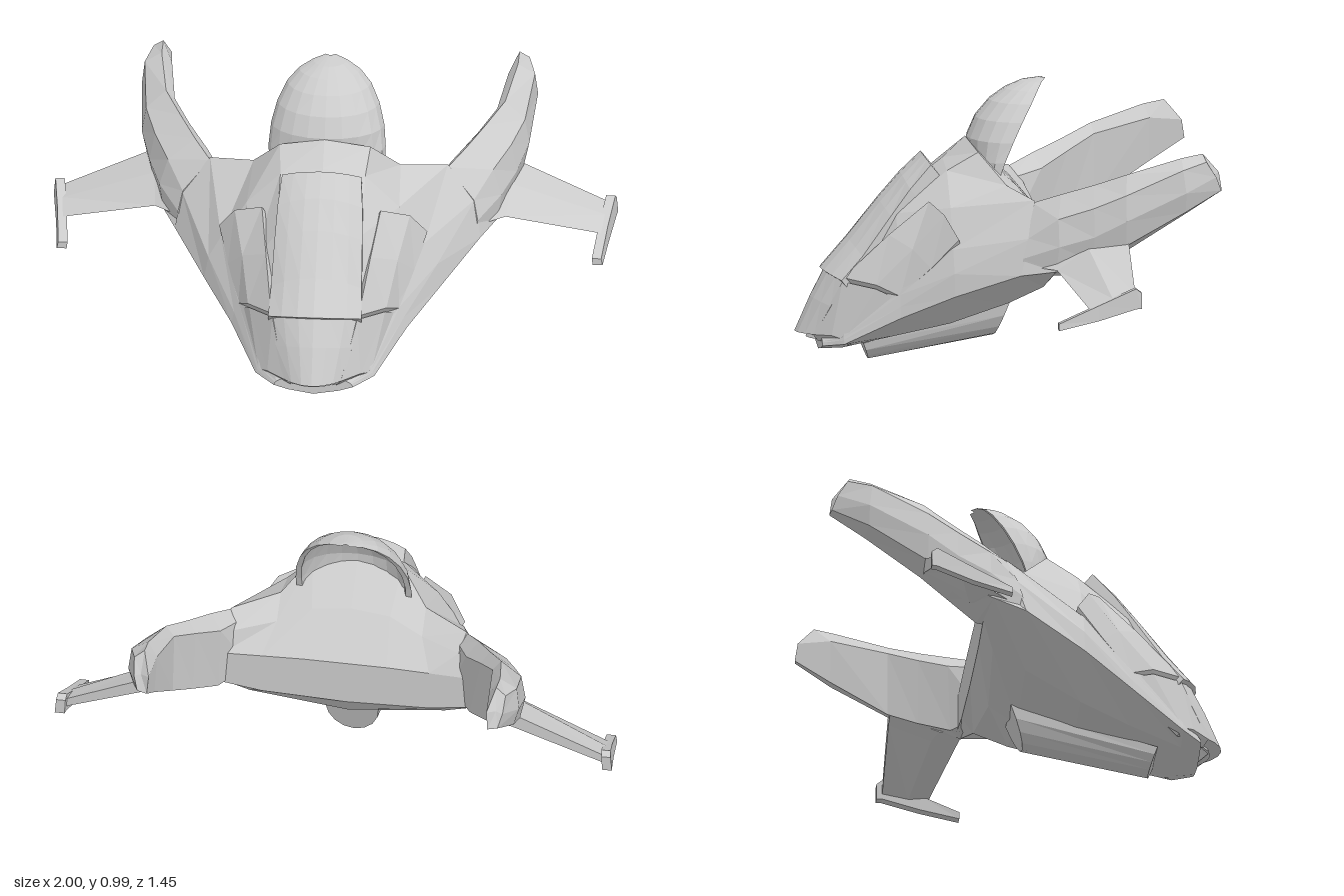
import * as THREE from 'three';

const material = new THREE.MeshStandardMaterial({ color: 0xcccccc, flatShading: true, side: THREE.DoubleSide });

// Closed loft through rings of [x, y, z] points, capped at both ends, faces turned outward
function loft(name, rings) {
  const n = rings[0].length, tris = [];
  const quad = (a, b, c, d) => tris.push([a, b, c], [a, c, d]);
  for (let r = 0; r < rings.length - 1; r++) {
    for (let i = 0; i < n; i++) {
      const j = (i + 1) % n;
      quad(rings[r][i], rings[r][j], rings[r + 1][j], rings[r + 1][i]);
    }
  }
  const cap = (ring, flip) => {
    const c = [0, 1, 2].map(k => ring.reduce((s, p) => s + p[k], 0) / n);
    ring.forEach((p, i) => {
      const q = ring[(i + 1) % n];
      tris.push(flip ? [c, q, p] : [c, p, q]);
    });
  };
  cap(rings[0], true);
  cap(rings[rings.length - 1], false);
  const vec = p => new THREE.Vector3(...p);
  const volume = tris.reduce((s, [a, b, c]) => s + vec(a).dot(vec(b).cross(vec(c))), 0);
  if (volume < 0) tris.forEach(t => t.reverse());
  const geometry = new THREE.BufferGeometry();
  geometry.setAttribute('position', new THREE.Float32BufferAttribute(tris.flat(2), 3));
  geometry.computeVertexNormals();
  const mesh = new THREE.Mesh(geometry, material);
  mesh.name = name;
  return mesh;
}

const flipX = ([x, y, z]) => [-x, y, z];
// Full ring from a half section that runs from the top centre to the bottom centre
const symmetric = half => [...half, ...half.slice(1, -1).reverse().map(flipX)];
const at = (z, pts) => pts.map(([x, y]) => [x, y, z]);
// Ring for a plate: the top line, and the same line shifted underneath
const plate = (line, shift) => [...line, ...line.map(p => p.map((v, k) => v + shift[k])).reverse()];

export function createModel() {
  const model = new THREE.Group();
  const pair = (name, rings) => {
    model.add(loft('left' + name, rings), loft('right' + name, rings.map(r => r.map(flipX))));
  };

  // Hull: wedge from the nose to the raised cockpit rim, then down to the rear edge
  model.add(loft('hull', [
    at(0.64, [[0, 0.11], [0.07, 0.1], [0.11, 0.095], [0.13, 0.085], [0.135, 0.08], [0.14, 0.07], [0.09, 0.055], [0, 0.04]]),
    at(0.57, [[0, 0.34], [0.13, 0.25], [0.17, 0.17], [0.2, 0.11], [0.205, 0.1], [0.21, 0.085], [0.12, 0.06], [0, 0.046]]),
    at(0.38, [[0, 0.58], [0.15, 0.54], [0.245, 0.4], [0.285, 0.27], [0.3, 0.23], [0.31, 0.19], [0.18, 0.11], [0, 0.08]]),
    at(0.2, [[0, 0.715], [0.15, 0.69], [0.27, 0.575], [0.36, 0.44], [0.405, 0.36], [0.42, 0.28], [0.25, 0.16], [0, 0.12]]),
    [[0, 0.79, 0.12], [0.16, 0.755, 0.09], [0.26, 0.65, 0], [0.42, 0.62, -0.08], [0.52, 0.5, -0.06],
      [0.54, 0.37, -0.02], [0.32, 0.24, 0], [0, 0.18, 0]],
    [[0, 0.64, -0.04], [0.14, 0.63, -0.05], [0.26, 0.58, -0.08], [0.4, 0.56, -0.13], [0.5, 0.52, -0.15],
      [0.59, 0.39, -0.14], [0.35, 0.3, -0.12], [0, 0.245, -0.1]],
    at(-0.165, [[0, 0.49], [0.15, 0.49], [0.3, 0.485], [0.44, 0.48], [0.46, 0.44], [0.47, 0.36], [0.3, 0.335], [0, 0.325]]),
  ].map(symmetric)));

  // Canopy and nose panel: arched plates [z, y, half width, drop and sweep at the sides]
  const arched = (name, depth, rows) => model.add(loft(name, rows.map(([z, y, w, drop, sweep]) => {
    const line = [-1, -0.7, -0.35, 0, 0.35, 0.7, 1].map(t => [w * t, y - drop * t * t, z - sweep * t * t]);
    return plate(line, [0, -depth, -0.04]);
  })));
  arched('canopy', 0.05, [
    [0.275, 0.735, 0.14, 0.025, 0.02], [0.35, 0.665, 0.15, 0.04, 0.02],
    [0.43, 0.575, 0.155, 0.045, 0.03], [0.54, 0.44, 0.16, 0.05, 0.04], [0.635, 0.33, 0.165, 0.025, 0.06]]);
  arched('nosePanel', 0.02, [
    [0.62, 0.325, 0.155, 0.025, 0.06], [0.67, 0.23, 0.135, 0.02, 0.06], [0.725, 0.105, 0.105, 0, 0.06]]);

  // Armour panels beside the canopy, open behind like intakes
  pair('SidePanel', [
    [[0.21, 0.59, 0.27], [0.31, 0.555, 0.225], [0.368, 0.475, 0.18]],
    [[0.185, 0.47, 0.41], [0.275, 0.43, 0.335], [0.33, 0.37, 0.275]],
    [[0.155, 0.315, 0.57], [0.245, 0.3, 0.46], [0.285, 0.265, 0.38]],
  ].map(line => plate(line, [-0.02, -0.035, -0.01])));
  pair('NoseSidePanel', [
    [[0.15, 0.3, 0.57], [0.24, 0.285, 0.46], [0.28, 0.25, 0.38]],
    [[0.1, 0.105, 0.67], [0.165, 0.11, 0.61], [0.2, 0.1, 0.57]],
  ].map(line => plate(line, [-0.02, -0.025, -0.02])));

  // Hood: a hollow half dome leaning back over the cockpit [y, half width, back z, front z]
  model.add(loft('hood', [
    [0.66, 0.205, 0.02, 0.1], [0.72, 0.207, 0, 0.11], [0.79, 0.2, -0.03, 0.115], [0.86, 0.18, -0.065, 0.085],
    [0.92, 0.148, -0.1, 0.035], [0.96, 0.108, -0.125, -0.02], [0.985, 0.06, -0.145, -0.075], [0.996, 0.018, -0.163, -0.14],
  ].map(([y, w, zb, zf]) => {
    const arc = k => Array.from({ length: 11 }, (_, i) => {
      const a = (i / 10 - 0.5) * Math.PI;
      return [w * k * Math.sin(a), y, zb + (zf - zb) * (k === 1 ? 1 : 0.8) * Math.cos(a)];
    });
    return [...arc(1), ...arc(0.9).reverse()];
  })));

  // Swept prongs growing out of the hull sides and rising behind it
  pair('Prong', [
    [[0.39, 0.575, -0.09], [0.42, 0.612, -0.075], [0.515, 0.5, -0.05], [0.53, 0.43, -0.03], [0.52, 0.37, -0.02], [0.36, 0.38, -0.08]],
    [[0.44, 0.6, -0.2], [0.48, 0.65, -0.17], [0.575, 0.575, -0.15], [0.605, 0.48, -0.15], [0.59, 0.39, -0.14], [0.45, 0.355, -0.19]],
    [[0.51, 0.65, -0.3], [0.54, 0.69, -0.28], [0.63, 0.62, -0.27], [0.65, 0.52, -0.27], [0.63, 0.43, -0.27], [0.52, 0.41, -0.3]],
    [[0.57, 0.7, -0.4], [0.6, 0.735, -0.39], [0.67, 0.67, -0.38], [0.685, 0.58, -0.38], [0.665, 0.49, -0.38], [0.575, 0.465, -0.4]],
    [[0.595, 0.75, -0.6], [0.63, 0.795, -0.58], [0.69, 0.76, -0.58], [0.7, 0.68, -0.59], [0.68, 0.61, -0.59], [0.605, 0.595, -0.6]],
    [[0.605, 0.74, -0.715], [0.63, 0.81, -0.655], [0.665, 0.785, -0.665], [0.66, 0.73, -0.7], [0.645, 0.68, -0.72], [0.61, 0.675, -0.725]],
  ]);

  // Side wings with a thin tip fin
  pair('Wing', [
    [[0.54, 0.4, -0.07], [0.56, 0.5, -0.22], [0.6, 0.52, -0.39], [0.58, 0.47, -0.39], [0.54, 0.39, -0.22]],
    [[0.62, 0.4, -0.14], [0.63, 0.48, -0.25], [0.65, 0.505, -0.39], [0.64, 0.455, -0.39], [0.62, 0.39, -0.24]],
    [[0.96, 0.31, -0.22], [0.96, 0.35, -0.3], [0.965, 0.365, -0.38], [0.96, 0.335, -0.38], [0.955, 0.31, -0.29]],
  ]);
  pair('TipFin', [[-0.11, 0.945, 0.25, 0.012], [-0.25, 0.958, 0.3, 0.027], [-0.38, 0.975, 0.352, 0.036], [-0.4, 0.978, 0.345, 0.028]]
    .map(([z, x, y, h]) => at(z, [[x - 0.018, y + h], [x + 0.015, y + h], [x + 0.02, y - h], [x - 0.015, y - h]])));

  // Half-round keel pod under the hull [top z, bottom z, top y, bottom y, half width]
  model.add(loft('keelPod', [[0.49, 0.465, 0.07, 0.002, 0.095], [-0.03, 0.02, 0.21, 0.08, 0.095]]
    .map(([zt, zb, yt, yb, w]) => Array.from({ length: 9 }, (_, i) => {
      const a = i / 8 * Math.PI, s = Math.sin(a);
      return [w * Math.cos(a), yt + (yb - yt) * s, zt + (zb - zt) * s];
    }))));

  return model;
}
